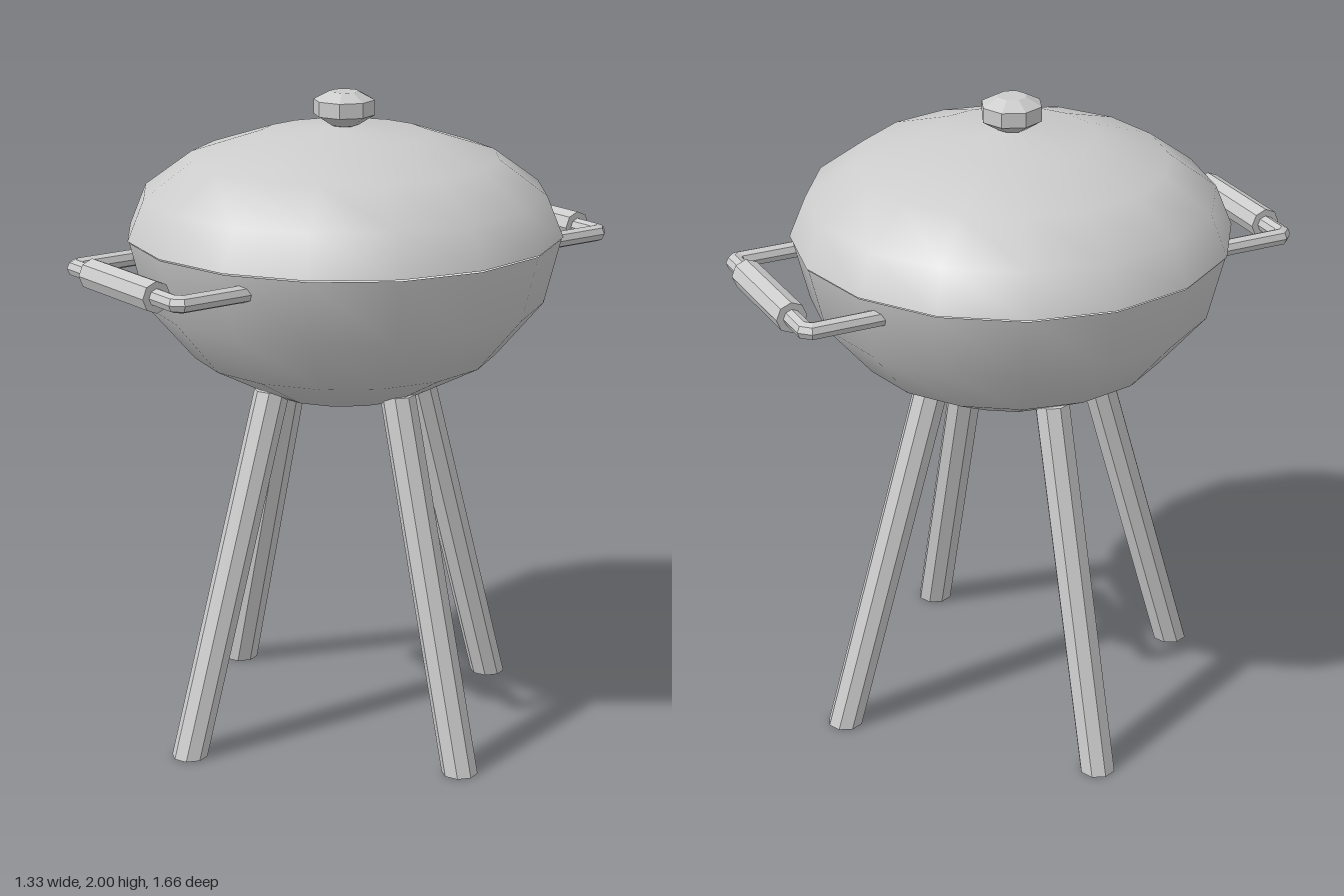
import * as THREE from 'three';

const SIDES = 8;
const smooth = new THREE.MeshStandardMaterial({ color: 0xcccccc, side: THREE.DoubleSide });
const faceted = new THREE.MeshStandardMaterial({ color: 0xcccccc, flatShading: true });

function add(parent, name, geometry, material) {
  const mesh = new THREE.Mesh(geometry, material);
  mesh.name = name;
  parent.add(mesh);
  return mesh;
}

// Half ellipsoid shell: quarter-ellipse profile from angle a0 to a1, in 4 steps
function dome(radius, height, a0, a1) {
  const profile = [];
  for (let i = 0; i <= 4; i++) {
    const a = a0 + (a1 - a0) * i / 4;
    profile.push(new THREE.Vector2(Math.max(0, radius * Math.cos(a)), height * Math.sin(a)));
  }
  return new THREE.LatheGeometry(profile, 16);
}

// Leaning post with level ends: a cylinder sheared outward toward its foot
function leaningLeg(radius, height, topOut, footOut) {
  const geo = new THREE.CylinderGeometry(radius, radius, height, SIDES);
  geo.translate(0, height / 2, 0);
  const p = geo.attributes.position;
  for (let i = 0; i < p.count; i++) {
    const t = p.getY(i) / height;
    p.setX(i, p.getX(i) + footOut + (topOut - footOut) * t);
  }
  geo.computeVertexNormals();
  return geo;
}

// Rod with mitred corners along level points [x, z]
function bentRod(points, radius) {
  const n = points.length - 1;
  const pts = points.map(([x, z]) => new THREE.Vector2(x, z));
  const dir = (i) => pts[i + 1].clone().sub(pts[i]).normalize();
  const geo = new THREE.CylinderGeometry(radius, radius, 1, SIDES, n);
  const p = geo.attributes.position;
  for (let v = 0; v < p.count; v++) {
    const i = Math.round((p.getY(v) + 0.5) * n);
    const before = dir(Math.max(0, i - 1));
    const along = before.clone().add(dir(Math.min(n - 1, i))).normalize();
    const off = p.getX(v) / along.dot(before);
    p.setXYZ(v, pts[i].x - along.y * off, p.getZ(v), pts[i].y + along.x * off);
  }
  geo.computeVertexNormals();
  return geo;
}

export function createModel() {
  const model = new THREE.Group();
  model.name = 'kettleGrill';

  // Bowl and lid meet at a creased rim
  add(model, 'bowl', dome(0.66, 0.52, -Math.PI / 2, 0), smooth).position.y = 1.57;
  add(model, 'lid', dome(0.665, 0.325, 0, Math.PI / 2), smooth).position.y = 1.575;

  // Lid knob
  const knob = [[0, 1.885], [0.045, 1.9], [0.093, 1.93], [0.093, 1.975], [0.045, 2], [0, 2]];
  add(model, 'lidKnob', new THREE.LatheGeometry(knob.map(([x, y]) => new THREE.Vector2(x, y)), SIDES), faceted);

  // Four splayed legs, one on each axis
  for (let i = 0; i < 4; i++) {
    const leg = add(model, 'leg' + (i + 1), leaningLeg(0.055, 1.12, 0.27, 0.59), faceted);
    leg.rotation.y = i * Math.PI / 2;
  }

  // Front and back carrying handles
  const half = [[0.285, 0.55], [0.285, 0.768], [0.268, 0.785]];
  const path = [...half, ...half.map(([x, z]) => [-x, z]).reverse()];
  ['frontHandle', 'backHandle'].forEach((name, i) => {
    const handle = new THREE.Group();
    handle.name = name;
    add(handle, 'handleRod', bentRod(path, 0.026), faceted);
    const grip = add(handle, 'handleGrip', new THREE.CylinderGeometry(0.047, 0.047, 0.35, SIDES), faceted);
    grip.rotation.z = Math.PI / 2;
    grip.position.z = 0.785;
    handle.position.y = 1.515;
    handle.rotation.y = i * Math.PI;
    model.add(handle);
  });

  return model;
}
